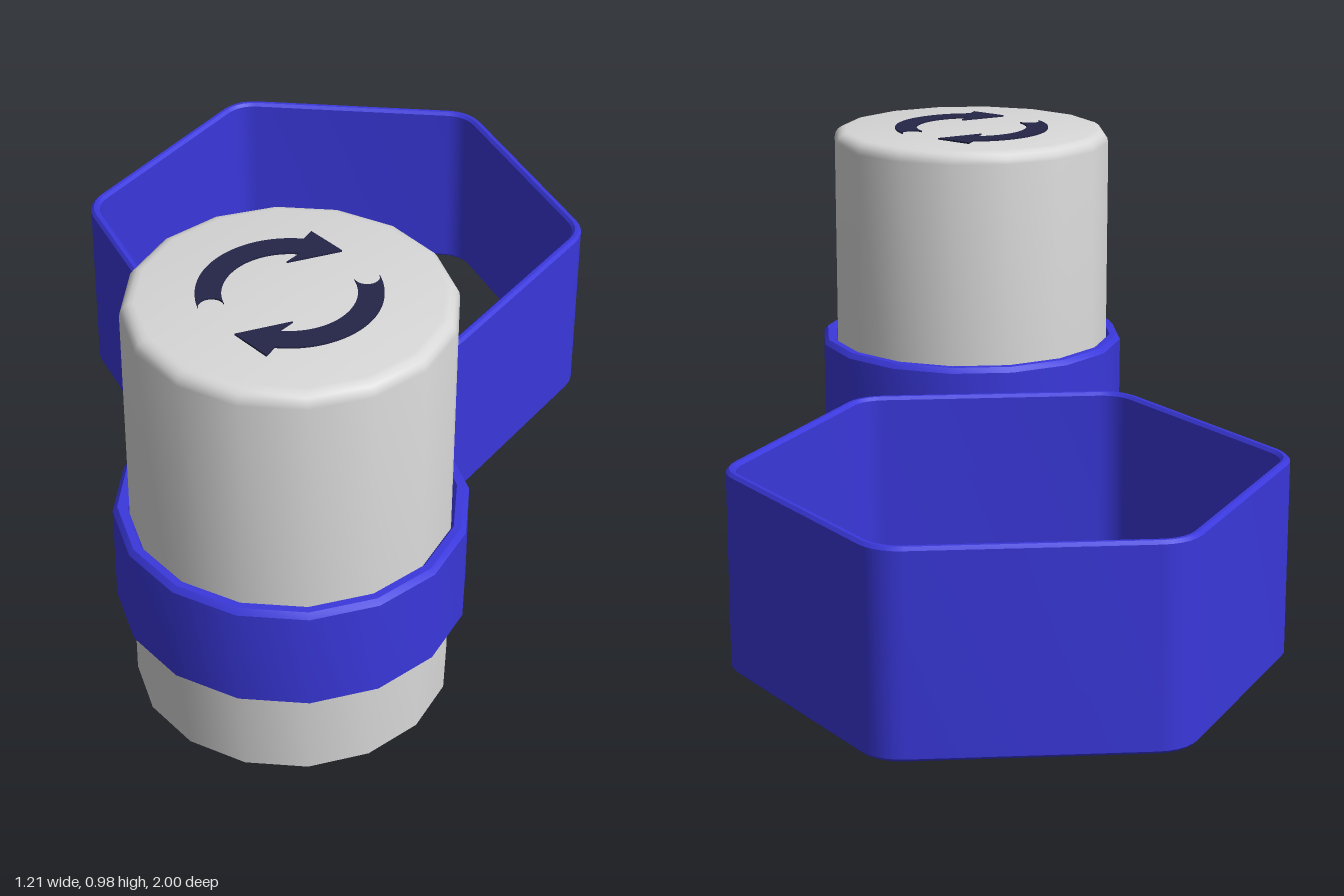
import * as THREE from 'three';
import { toCreasedNormals } from 'three/addons/utils/BufferGeometryUtils.js';

const blue = new THREE.MeshStandardMaterial({ color: 0x3a38dc });
blue.name = 'blue plastic';
const grey = new THREE.MeshStandardMaterial({ color: 0xd8d8d8, side: THREE.DoubleSide });
grey.name = 'light grey';
const navy = new THREE.MeshStandardMaterial({ color: 0x252548 });
navy.name = 'dark navy';

const CX = 0.007, CZ = 0.63, SIDES = 16;

function addMesh(parent, name, geometry, material) {
  const mesh = new THREE.Mesh(geometry, material);
  mesh.name = name;
  parent.add(mesh);
  return mesh;
}

// 16-sided turned part; radii are measured to the flats, which face the axes
function turned(profile) {
  const k = 1 / Math.cos(Math.PI / SIDES);
  const points = profile.map(([r, y]) => new THREE.Vector2(r * k, y));
  return toCreasedNormals(new THREE.LatheGeometry(points, SIDES, Math.PI / SIDES), 0.56);
}

// Hexagon outline with rounded corners
function hexagon(apothem, radius, steps = 5) {
  const points = [];
  const reach = (apothem - radius) / Math.cos(Math.PI / 6);
  for (let i = 0; i < 6; i++) {
    const mid = i * Math.PI / 3;
    for (let j = 0; j <= steps; j++) {
      const a = mid + (j / steps - 0.5) * Math.PI / 3;
      points.push(new THREE.Vector2(
        reach * Math.cos(mid) + radius * Math.cos(a),
        reach * Math.sin(mid) + radius * Math.sin(a)));
    }
  }
  return points;
}

// Curved arrow: rounded tail, clockwise band, triangular head
function arrowShape() {
  const outer = 0.19, inner = 0.137, mid = (outer + inner) / 2, half = (outer - inner) / 2;
  const tail = 3.55, neck = 1.52;
  const shape = new THREE.Shape();
  shape.moveTo(outer * Math.cos(tail), outer * Math.sin(tail));
  shape.absarc(0, 0, outer, tail, neck, true);
  shape.lineTo(0.022, 0.22);
  shape.lineTo(0.092, 0.155);
  shape.lineTo(-0.017, 0.103);
  shape.absarc(0, 0, inner, neck, tail, false);
  shape.absarc(mid * Math.cos(tail), mid * Math.sin(tail), half, tail + Math.PI, tail + 2 * Math.PI, false);
  return shape;
}

export function createModel() {
  const model = new THREE.Group();
  model.name = 'canisterWithHexHolder';

  // Canister: open underneath, softly rounded top rim
  const canister = new THREE.Group();
  canister.name = 'canister';
  canister.position.set(CX, 0, CZ);
  model.add(canister);
  const wall = [[0.337, 0]];
  for (let i = 0; i <= 4; i++) {
    const a = i / 4 * Math.PI / 2;
    wall.push([0.307 + 0.03 * Math.cos(a), 0.948 + 0.03 * Math.sin(a)]);
  }
  wall.push([0, 0.978]);
  addMesh(canister, 'canisterBody', turned(wall), grey);

  // Pair of circling arrows on the lid
  for (let i = 0; i < 2; i++) {
    const geometry = new THREE.ExtrudeGeometry(arrowShape(),
      { depth: 0.005, bevelEnabled: false, curveSegments: 20 });
    geometry.rotateX(-Math.PI / 2);
    geometry.rotateY(i * Math.PI);
    addMesh(canister, 'lidArrow', geometry, navy).position.set(-0.002, 0.977, -0.005);
  }

  // Collar gripping the canister
  addMesh(canister, 'collar', turned([
    [0.34, 0.218], [0.372, 0.218], [0.372, 0.446], [0.362, 0.458],
    [0.346, 0.458], [0.34, 0.45], [0.34, 0.218],
  ]), blue);

  // Hexagonal holder, open at both ends, with small chamfers
  const bevel = 0.007, height = 0.45;
  const outline = new THREE.Shape(hexagon(0.5375, 0.1));
  outline.holes.push(new THREE.Path(hexagon(0.5155, 0.078).reverse()));
  const hex = new THREE.ExtrudeGeometry(outline, {
    depth: height - 2 * bevel, bevelEnabled: true, bevelSegments: 1,
    bevelSize: bevel, bevelThickness: bevel, bevelOffset: -bevel,
  });
  hex.rotateX(-Math.PI / 2);
  hex.translate(0, bevel, -0.4625);
  addMesh(model, 'hexHolder', toCreasedNormals(hex, 0.56), blue);

  // Bridge between collar and holder
  const bridge = new THREE.BoxGeometry(0.124, 0.046, 0.205);
  addMesh(model, 'bridge', bridge, blue).position.set(CX, 0.338, 0.168);

  return model;
}
